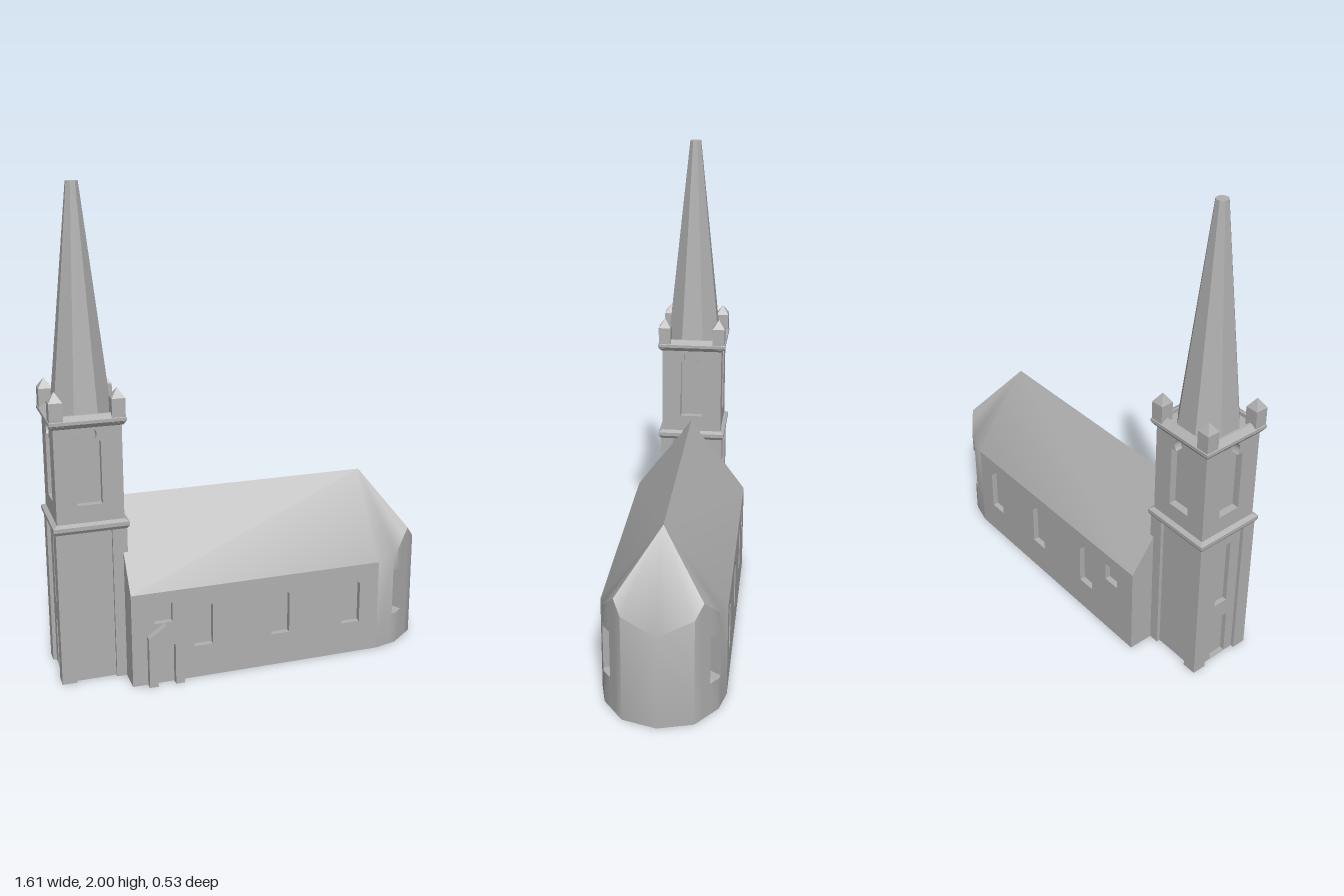
import * as THREE from 'three';
import { toCreasedNormals } from 'three/addons/utils/BufferGeometryUtils.js';

const stone = new THREE.MeshStandardMaterial({ color: 0xb0b0b0, side: THREE.DoubleSide });
stone.name = 'stone grey';

function add(parent, name, geo, x = 0, y = 0, z = 0) {
  const m = new THREE.Mesh(geo, stone);
  m.name = name;
  m.position.set(x, y, z);
  parent.add(m);
  return m;
}
const box = (w, h, d) => new THREE.BoxGeometry(w, h, d).translate(0, h / 2, 0);
const path = (pts) => pts.map(([x, y]) => new THREE.Vector2(x, y));

// Slab facing +z with openings cut through it
function panel(outline, holes, depth) {
  const s = new THREE.Shape(path(outline));
  for (const h of holes) s.holes.push(new THREE.Path(h));
  return new THREE.ExtrudeGeometry(s, { depth, bevelEnabled: false });
}
const rect = (x0, x1, y0, y1) => [[x0, y0], [x1, y0], [x1, y1], [x0, y1]];

// Square moulding from a [half width, height] profile
function moulding(profile) {
  const pts = path(profile.map(([r, y]) => [r * Math.SQRT2, y]));
  return toCreasedNormals(new THREE.LatheGeometry(pts, 4, Math.PI / 4), 0.3);
}

// Rounded east end and hipped roof
function shellGeometry() {
  const P = [[0.55, 0.25], [0.63, 0.23], [0.65, 0.225], [0.69, 0.194], [0.72, 0.171], [0.76, 0.14], [0.8, 0]];
  const top = ([x, z]) => Math.min(0.74 - 1.36 * z, 0.74 - 1.388 * (x - 0.555));
  const pos = [];
  for (const s of [1, -1]) {
    const tri = (a, b, c) => {
      for (const p of s > 0 ? [a, b, c] : [a, c, b]) pos.push(p[0], p[1], p[2] * s);
    };
    const quad = (a, b, c, d) => { tri(a, b, c); tri(a, c, d); };
    const at = ([x, z], y) => [x, y, z];
    const inner = ([x, z]) => [x - 0.033, z - 0.05];
    const lo = 0.14, hi = 0.345;
    const wall = (a, b, ya, yb, yc, yd) => quad(at(a, ya), at(b, yb), at(b, yc), at(a, yd));
    for (let i = 0; i < P.length - 1; i++) {
      const a = P[i], b = P[i + 1];
      if (i === 1 || i === 2) {
        // wall below and above the window, with sill and head
        wall(a, b, 0, 0, lo, lo);
        wall(a, b, hi, hi, top(b), top(a));
        quad(at(a, lo), at(b, lo), at(inner(b), lo), at(inner(a), lo));
        quad(at(inner(a), hi), at(inner(b), hi), at(b, hi), at(a, hi));
        wall(inner(a), inner(b), lo, lo, hi, hi);
      } else wall(a, b, 0, 0, top(b), top(a));
    }
    // window jambs
    wall(P[1], inner(P[1]), lo, lo, hi, hi);
    wall(inner(P[3]), P[3], lo, lo, hi, hi);
    // roof and floor as fans
    const west = [-0.53, 0.25];
    const ridge = [0.555, 0.74, 0];
    const eaves = [[-0.53, 0.74, 0], at(west, 0.4), ...P.map((p) => at(p, top(p)))];
    const base = [at([-0.53, 0], 0), at(west, 0), ...P.map((p) => at(p, 0))];
    for (let i = 0; i < eaves.length - 1; i++) {
      tri(ridge, eaves[i], eaves[i + 1]);
      tri([0.5, 0, 0], base[i + 1], base[i]);
    }
    // west gable
    tri([-0.53, 0.74, 0], [-0.53, 0.4, 0], [-0.53, 0.4, 0.25]);
  }
  const g = new THREE.BufferGeometry();
  g.setAttribute('position', new THREE.Float32BufferAttribute(pos, 3));
  return toCreasedNormals(g, 0.7);
}

function buildNave() {
  const nave = new THREE.Group();
  nave.name = 'nave';
  add(nave, 'roofAndApse', shellGeometry());
  add(nave, 'naveCore', box(1.08, 0.4, 0.45), 0.01);

  // side walls with three pointed windows and a small square one
  const holes = [-0.23, 0.105, 0.425].map((x) => path([
    [x - 0.04, 0.14], [x + 0.04, 0.14], [x + 0.04, 0.315], [x, 0.35], [x - 0.04, 0.315]]));
  holes.push(path(rect(-0.435, -0.36, 0.265, 0.348)));
  const side = panel(rect(-0.53, 0.55, 0, 0.4), holes, 0.025);
  add(nave, 'frontWall', side, 0, 0, 0.225);
  add(nave, 'backWall', side, 0, 0, -0.225).scale.z = -1;

  // gabled doorway
  const porch = panel([[-0.073, 0], [-0.037, 0], [-0.037, 0.18], [0.037, 0.18], [0.037, 0],
    [0.073, 0], [0.073, 0.215], [0, 0.265], [-0.073, 0.215]], [], 0.03);
  add(nave, 'porch', porch, -0.394, 0, 0.25);
  return nave;
}

// Tall opening with a round head
function belfryOpening() {
  const p = new THREE.Path();
  p.moveTo(-0.05, 0.76);
  p.lineTo(0.05, 0.76);
  p.lineTo(0.05, 1.02);
  p.lineTo(0.025, 1.02);
  p.absarc(0, 1.045, 0.035, -Math.PI / 4, Math.PI * 1.25, false);
  p.lineTo(-0.025, 1.02);
  p.lineTo(-0.05, 1.02);
  return p.getPoints(8);
}

function buildTower() {
  const tower = new THREE.Group();
  tower.name = 'tower';
  tower.position.x = -0.655;

  // lower stage with corner piers and a west door and window
  add(tower, 'lowerTower', box(0.236, 0.66, 0.256), 0.01);
  const west = panel(rect(-0.128, 0.128, 0, 0.66), [
    path(rect(-0.032, 0.032, 0.29, 0.59)), path(rect(-0.04, 0.04, 0.003, 0.21))], 0.02);
  add(tower, 'westWall', west, -0.108).rotation.y = -Math.PI / 2;
  for (const sx of [-1, 1]) for (const sz of [-1, 1]) {
    add(tower, 'cornerPier', box(0.06, 0.66, 0.06), sx * 0.113, 0, sz * 0.113);
    // pinnacles on the parapet corners
    add(tower, 'pinnacle', moulding([[0.027, 1.09], [0.027, 1.185], [0, 1.225]]), sx * 0.122, 0, sz * 0.122);
  }
  add(tower, 'lowerCornice', moulding([[0.1, 0.648], [0.143, 0.648], [0.152, 0.662],
    [0.152, 0.678], [0.135, 0.688], [0, 0.688]]));

  // belfry stage with an opening on each side
  add(tower, 'belfryCore', box(0.21, 0.41, 0.21), 0, 0.68);
  for (let i = 0; i < 4; i++) {
    const w = i % 2 ? 0.105 : 0.135;
    const holder = new THREE.Group();
    holder.name = 'belfrySide';
    holder.rotation.y = i * Math.PI / 2;
    add(holder, 'belfryWall', panel(rect(-w, w, 0.68, 1.09), [belfryOpening()], 0.03), 0, 0, 0.105);
    tower.add(holder);
  }

  // upper cornice with a sunken parapet floor
  add(tower, 'upperCornice', moulding([[0.133, 1.075], [0.14, 1.078], [0.152, 1.095],
    [0.152, 1.108], [0.127, 1.125], [0.118, 1.125], [0.118, 1.11], [0, 1.11]]));

  // eight-sided spire with flat tip
  const spire = new THREE.CylinderGeometry(0.025, 0.124, 0.89, 8, 1, false, Math.PI / 8);
  add(tower, 'spire', toCreasedNormals(spire, 0.3), 0, 1.555);
  return tower;
}

export function createModel() {
  const church = new THREE.Group();
  church.name = 'church';
  const body = new THREE.Group();
  body.name = 'building';
  body.position.z = -0.015;
  body.add(buildNave(), buildTower());
  church.add(body);
  return church;
}
